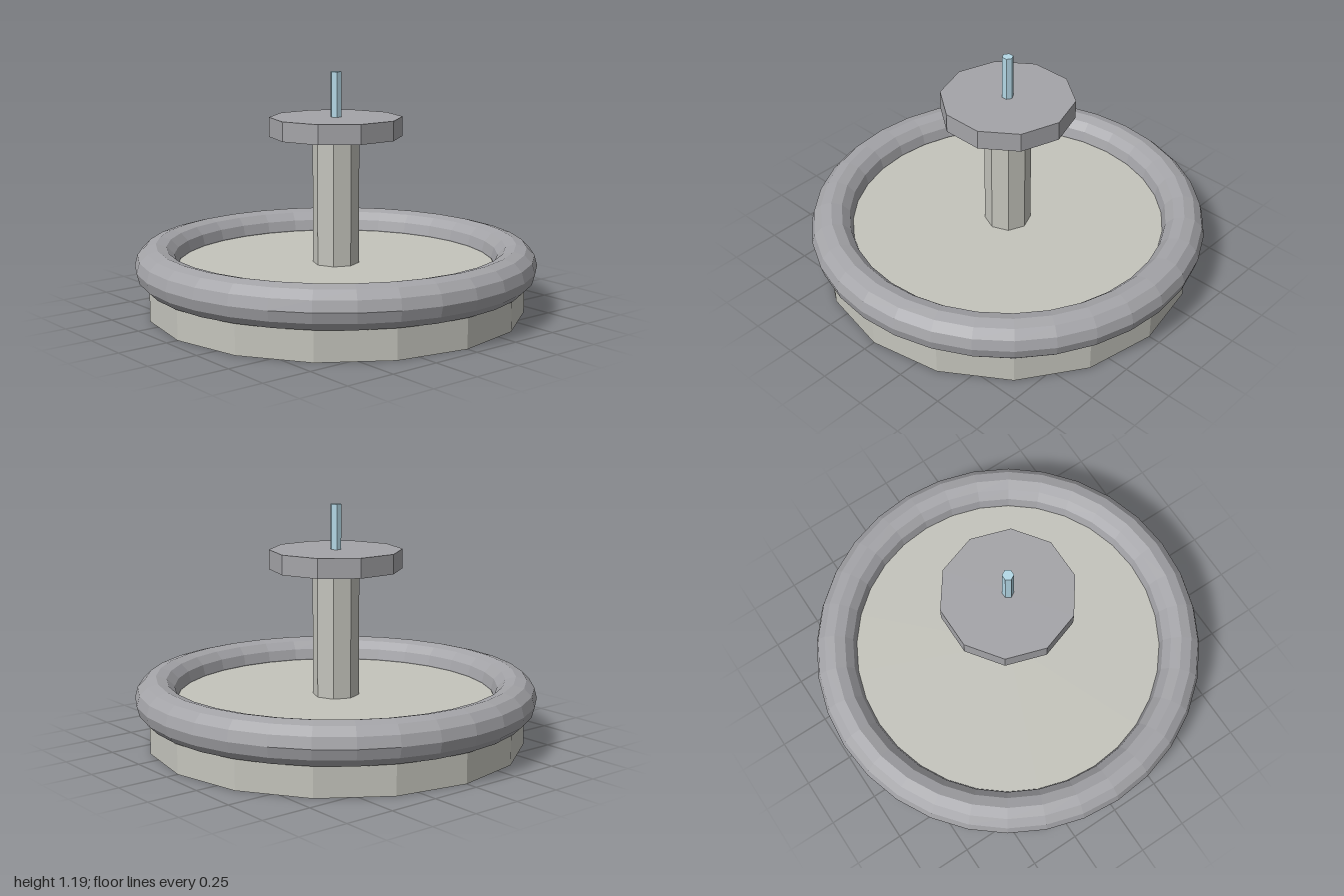
import * as THREE from 'three';

const material = (color) => new THREE.MeshStandardMaterial({ color, flatShading: true });

export function createModel() {
  const model = new THREE.Group();
  model.name = 'pedestalWheel';

  const stone = material(0xc4c4bc);
  const metal = material(0xa4a4a8);
  const glass = material(0xb4d8e6);

  // Upright faceted drum spanning bottom to top
  const drum = (name, radius, bottom, top, sides, mat) => {
    const mesh = new THREE.Mesh(new THREE.CylinderGeometry(radius, radius, top - bottom, sides), mat);
    mesh.position.y = (bottom + top) / 2;
    mesh.name = name;
    model.add(mesh);
  };

  drum('base', 0.94, 0, 0.235, 16, stone);
  drum('post', 0.116, 0.235, 0.87, 8, stone);
  drum('capPlate', 0.33, 0.87, 0.967, 10, metal);
  drum('pin', 0.028, 0.967, 1.19, 6, glass);

  // Rounded rim around the base
  const rim = new THREE.Mesh(new THREE.TorusGeometry(0.895, 0.105, 12, 32), metal);
  rim.rotation.x = Math.PI / 2;
  rim.position.y = 0.24;
  rim.name = 'rim';
  model.add(rim);

  return model;
}
